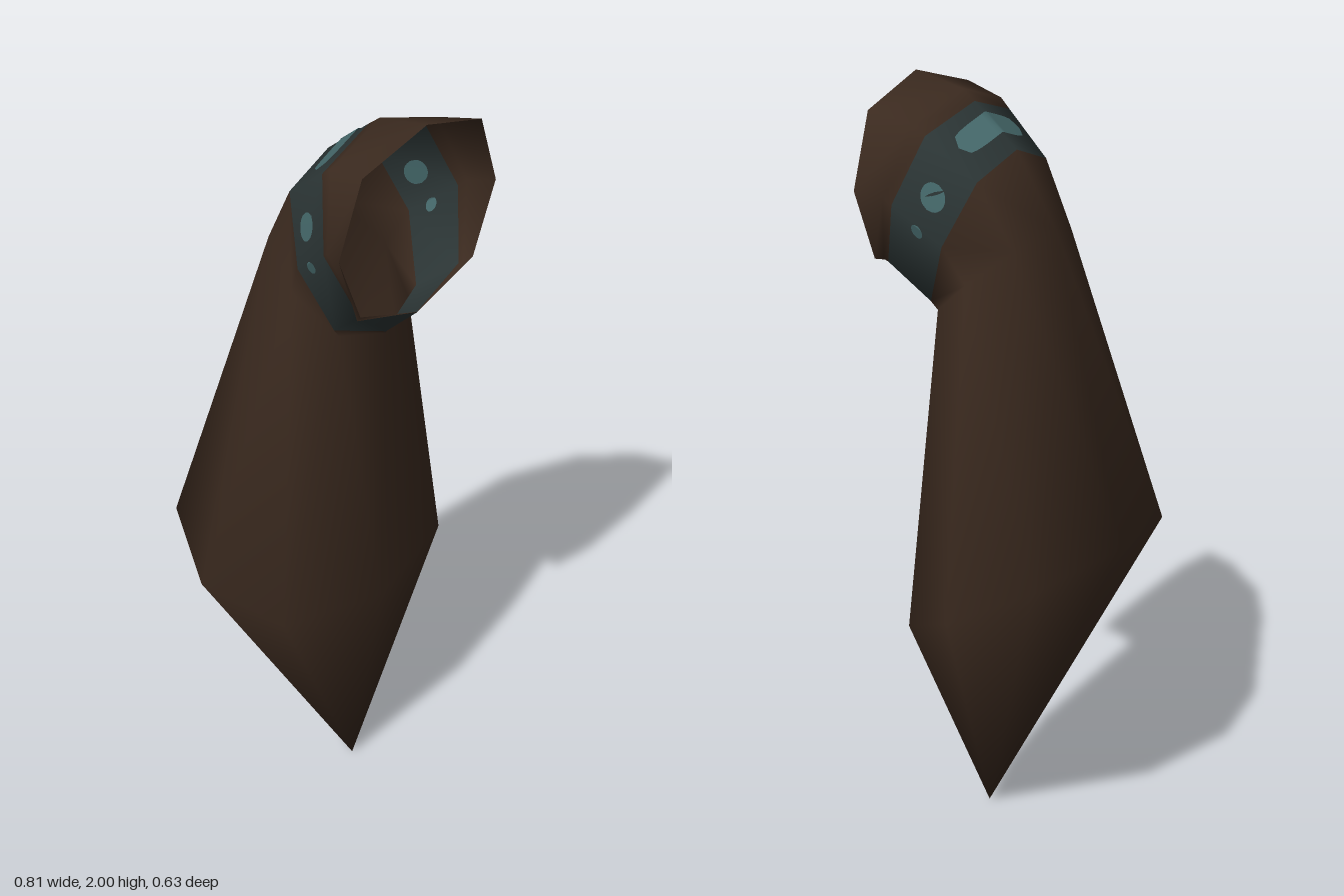
import * as THREE from 'three';
import { mergeVertices } from 'three/addons/utils/BufferGeometryUtils.js';

// Open, thin-walled shape: every surface shows from both sides
const paint = (name, color) => {
  const m = new THREE.MeshStandardMaterial({ color, side: THREE.DoubleSide });
  m.name = name;
  return m;
};
const brown = paint('darkHide', 0x3b2a1f);
const bandDark = paint('bandSlate', 0x2d3737);
const bandLight = paint('bandTeal', 0x466a6c);

const SIDES = 8;
const BAND_ROW = 2;

// Each ring: back/top point (z, y), front/bottom point (z, y), half width, z shift of the sides
const rings = [
  [0.315, 2.0, 0.3, 1.5, 0.28, -0.008],
  [0.17, 1.97, 0.3, 1.5, 0.25, 0],
  [0.135, 1.943, 0.295, 1.495, 0.24, 0],
  [0.008, 1.838, 0.2, 1.405, 0.2, -0.01],
  [-0.11, 1.65, 0.2, 1.4, 0.17, 0],
  [-0.315, 0.85, 0.2, 0.6, 0.405, 0],
  [0.1, 0, 0.1, 0, 0, 0],
];

// Corner of a ring; 0 is the top/back, 2 the +x side, 4 the bottom/front
function corner([tz, ty, bz, by, w, shift], k, scale = 1) {
  const a = (k * Math.PI * 2) / SIDES;
  const f = scale * (k % 2 ? 1.06 : 1); // slightly square diagonals
  const c = Math.cos(a) * f;
  return new THREE.Vector3(
    Math.sin(a) * f * w,
    (ty + by) / 2 + ((ty - by) / 2) * c,
    (tz + bz) / 2 + ((tz - bz) / 2) * c + (k % 4 ? shift : 0),
  );
}

// Smooth surface through rows of points, one material index per row
function skin(rows, rowMaterial) {
  const n = rows[0].length;
  const geo = new THREE.BufferGeometry().setFromPoints(rows.flat());
  const index = [];
  for (let i = 0; i < rows.length - 1; i++) {
    geo.addGroup(index.length, (n - 1) * 6, rowMaterial(i));
    for (let j = 0; j < n - 1; j++) {
      const a = i * n + j, b = a + 1, c = a + n, d = c + 1;
      index.push(a, b, c, b, d, c);
    }
  }
  geo.setIndex(index);
  const welded = mergeVertices(geo); // closes the seam and the tip
  welded.computeVertexNormals();
  return welded;
}

// Rounded spot lying on the band, u around the neck and v along it
function spot(scale, u, v, du, dv, power) {
  const around = (ring, t) => {
    const k = Math.floor(t);
    return corner(ring, k, scale).lerp(corner(ring, k + 1, scale), t - k);
  };
  const steps = 16;
  const rows = [-1, 1].map((side) => Array.from({ length: steps + 1 }, (_, j) => {
    const s = (2 * j) / steps - 1;
    const t = u + s * du;
    const h = v + side * dv * Math.pow(1 - Math.pow(Math.abs(s), power), 1 / power);
    return around(rings[BAND_ROW], t).lerp(around(rings[BAND_ROW + 1], t), h);
  }));
  return new THREE.Mesh(skin(rows, () => 0), bandLight);
}

export function createModel() {
  const model = new THREE.Group();
  model.name = 'hoodedPouch';

  // Body from the mouth to the pointed tip, with the band as its own row
  const rows = rings.map((r) => Array.from({ length: SIDES + 1 }, (_, k) => corner(r, k % SIDES)));
  const body = new THREE.Mesh(skin(rows, (i) => (i === BAND_ROW ? 1 : 0)), [brown, bandDark]);
  body.name = 'body';
  model.add(body);

  // Spots on the outside of the band and on its inside
  for (const [name, scale] of [['outerBandSpots', 1.015], ['innerBandSpots', 0.985]]) {
    const spots = new THREE.Group();
    spots.name = name;
    spots.add(spot(scale, 0, 0.45, 0.77, 0.21, 4));
    for (const m of [-1, 1]) {
      spots.add(spot(scale, 1.55 * m, 0.53, 0.18, 0.21, 2));
      spots.add(spot(scale, 2.07 * m, 0.53, 0.09, 0.11, 2));
    }
    model.add(spots);
  }
  return model;
}
